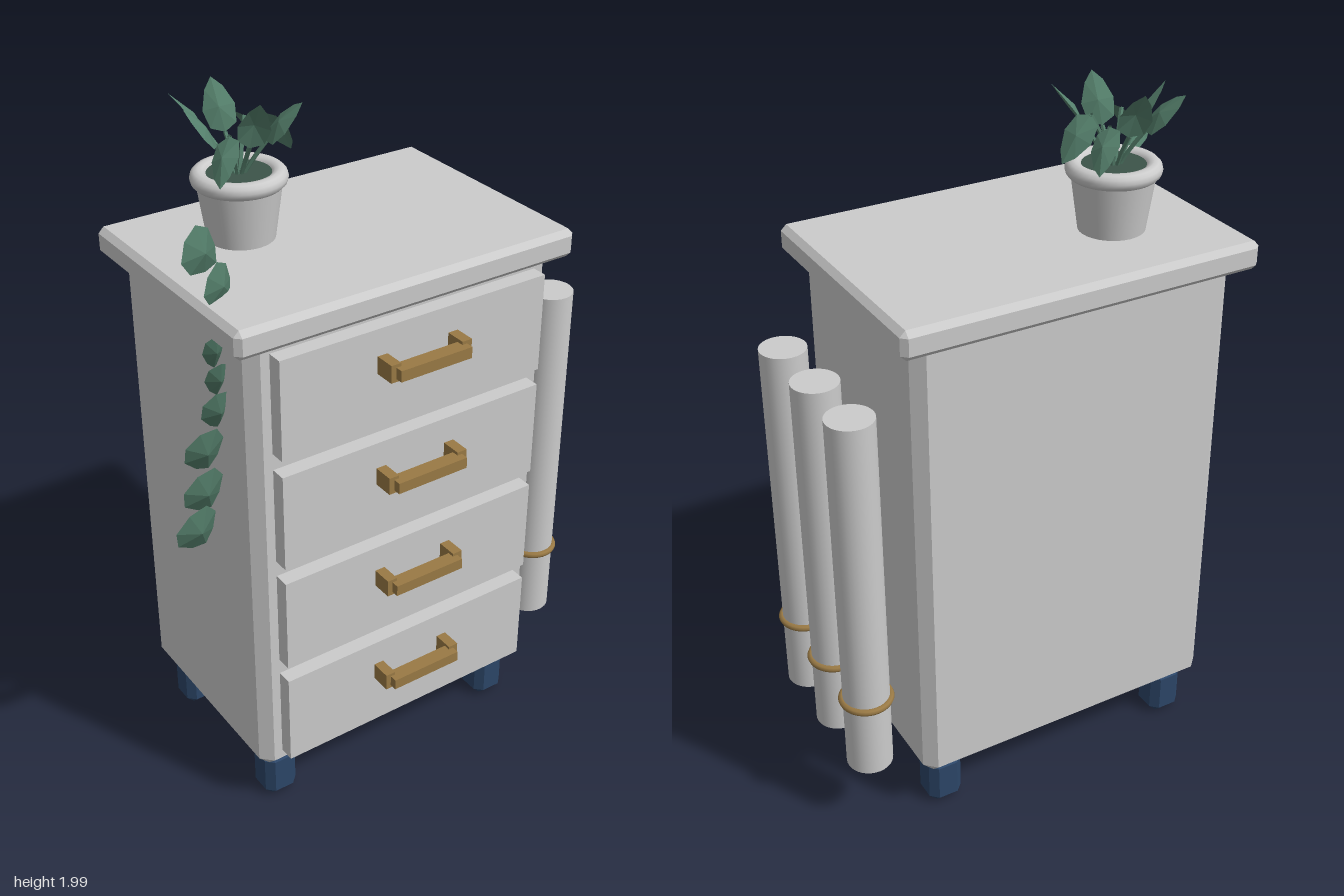
import * as THREE from 'three';
import { ConvexGeometry } from 'three/addons/geometries/ConvexGeometry.js';

const mat = (color, extra = {}) => new THREE.MeshStandardMaterial({ color, ...extra });
const grey = mat(0xcccccc);
const brass = mat(0x9a7a45);
const navy = mat(0x2c4668);
const soilGreen = mat(0x3c5449);
const green = mat(0x55806c, { side: THREE.DoubleSide, flatShading: true });
const V = (x, y, z) => new THREE.Vector3(x, y, z);

function add(parent, name, geometry, material, x = 0, y = 0, z = 0) {
  const mesh = new THREE.Mesh(geometry, material);
  mesh.name = name;
  mesh.position.set(x, y, z);
  parent.add(mesh);
  return mesh;
}

// Box with every edge cut at 45 degrees
function chamferBox(w, h, d, c) {
  const points = [];
  for (const sx of [-1, 1]) for (const sy of [-1, 1]) for (const sz of [-1, 1]) {
    const x = w / 2, y = h / 2, z = d / 2;
    points.push(V(sx * (x - c), sy * (y - c), sz * z),
      V(sx * (x - c), sy * y, sz * (z - c)),
      V(sx * x, sy * (y - c), sz * (z - c)));
  }
  return new ConvexGeometry(points);
}

// Faceted leaf: a fan round a raised middle, base at the origin, tip along +y
function leafGeometry(length, width) {
  const rim = [[0, 0], [0.4, 0.12], [0.5, 0.45], [0.28, 0.8], [0, 1], [-0.28, 0.8], [-0.5, 0.45], [-0.4, 0.12]];
  const positions = [];
  rim.forEach(([x, y], i) => {
    const [x2, y2] = rim[(i + 1) % rim.length];
    positions.push(0, length * 0.45, width * 0.16,
      x2 * width, y2 * length, 0, x * width, y * length, 0);
  });
  // Rim is listed counter-clockwise from the base, so swap corners to face +z
  for (let i = 0; i < positions.length; i += 9) {
    const a = positions.slice(i + 3, i + 6), b = positions.slice(i + 6, i + 9);
    positions.splice(i + 3, 6, ...b, ...a);
  }
  const g = new THREE.BufferGeometry();
  g.setAttribute('position', new THREE.Float32BufferAttribute(positions, 3));
  g.computeVertexNormals();
  return g;
}

function addLeaf(parent, base, dir, normal, length, width, roll = 0) {
  const leaf = add(parent, 'leaf', leafGeometry(length, width), green, base.x, base.y, base.z);
  const y = dir.clone().normalize();
  const x = y.clone().cross(normal).normalize();
  const z = x.clone().cross(y);
  leaf.quaternion.setFromRotationMatrix(new THREE.Matrix4().makeBasis(x, y, z));
  leaf.rotateY(roll);
}

function buildHandle(y) {
  const handle = new THREE.Group();
  handle.name = 'drawerHandle';
  handle.position.set(-0.025, y, 0);
  for (const s of [-1, 1])
    add(handle, 'handlePost', new THREE.BoxGeometry(0.03, 0.05, 0.06), brass, s * 0.11, 0, 0.357);
  add(handle, 'handleBar', new THREE.BoxGeometry(0.22, 0.032, 0.042), brass, 0, 0, 0.388);
  return handle;
}

function buildPottedPlant() {
  const plant = new THREE.Group();
  plant.name = 'pottedPlant';
  plant.position.set(-0.256, 1.597, -0.14);
  add(plant, 'pot', new THREE.CylinderGeometry(0.113, 0.09, 0.16, 32), grey, 0, 0.08, 0);
  add(plant, 'potRim', new THREE.TorusGeometry(0.104, 0.023, 12, 40), grey, 0, 0.166, 0).rotation.x = Math.PI / 2;
  add(plant, 'soil', new THREE.CylinderGeometry(0.1, 0.1, 0.02, 32), soilGreen, 0, 0.168, 0);

  // Per stem: reach, height of leaf base, pitch of leaf
  const stems = [
    [0.075, 0.32, -0.95], [0.075, 0.265, 0.85], [0.06, 0.26, 1.15], [0.075, 0.3, -0.75],
    [0.06, 0.26, 0.9], [0.075, 0.27, 0.8], [0.06, 0.265, 1.1], [0.075, 0.3, -0.7],
  ];
  stems.forEach(([reach, height, pitch], i) => {
    const a = (i / stems.length) * Math.PI * 2;
    const out = V(Math.cos(a), 0, Math.sin(a));
    const base = out.clone().multiplyScalar(reach).setY(height);
    const curve = new THREE.QuadraticBezierCurve3(out.clone().multiplyScalar(0.012).setY(0.17),
      out.clone().multiplyScalar(reach * 0.45).setY(height * 0.8), base);
    add(plant, 'stem', new THREE.TubeGeometry(curve, 6, 0.006, 5), green);
    const dir = out.clone().multiplyScalar(Math.cos(pitch)).setY(Math.sin(pitch));
    const normal = out.clone().multiplyScalar(-Math.sin(pitch)).setY(Math.cos(pitch));
    addLeaf(plant, base, dir, normal, 0.142, 0.085, i % 2 ? 0.45 : -0.45);
  });
  return plant;
}

function buildTrailingVine() {
  const vine = new THREE.Group();
  vine.name = 'trailingVine';
  // Per leaf: base x, base y, length, width, direction across, direction down
  const leaves = [
    [-0.585, 1.785, 0.18, 0.12, 0.75, -0.7], [-0.53, 1.68, 0.16, 0.11, 0.6, -0.6],
    [-0.515, 1.52, 0.13, 0.07, 0.15, -1], [-0.505, 1.44, 0.13, 0.08, 0.1, -1],
    [-0.525, 1.36, 0.16, 0.1, 0.3, -1], [-0.575, 1.26, 0.18, 0.12, 0.35, -1],
    [-0.59, 1.14, 0.19, 0.13, 0.45, -1], [-0.62, 1.03, 0.19, 0.135, 0.5, -1],
  ];
  for (const [x, y, length, width, dx, dy] of leaves)
    addLeaf(vine, V(x, y, 0.172), V(dx, dy, -0.45), V(-0.15, 0.4, 0.9), length, width);
  return vine;
}

export function createModel() {
  const model = new THREE.Group();
  model.name = 'drawerCabinet';

  // Carcass and worktop
  add(model, 'cabinetBody', chamferBox(0.936, 1.385, 0.65, 0.032), grey, -0.025, 0.845, -0.042);
  add(model, 'cabinetTop', chamferBox(1.036, 0.08, 0.73, 0.016), grey, -0.025, 1.557, -0.046);

  // Drawer fronts with handles
  for (let i = 0; i < 4; i++) {
    const y = 0.356 + i * 0.333;
    add(model, 'drawerFront', new THREE.BoxGeometry(0.82, 0.285, 0.07), grey, -0.025, y, 0.293);
    model.add(buildHandle(y + 0.041));
  }

  // Feet
  for (const sx of [-1, 1]) for (const sz of [-1, 1])
    add(model, 'foot', chamferBox(0.102, 0.155, 0.102, 0.022), navy, -0.025 + sx * 0.385, 0.0775, -0.04 + sz * 0.236);

  // Tubes standing beside the cabinet, each with a band
  for (const z of [-0.265, -0.058, 0.149]) {
    add(model, 'sideTube', new THREE.CylinderGeometry(0.065, 0.065, 1.108, 32), grey, 0.573, 0.772, z);
    add(model, 'tubeBand', new THREE.TorusGeometry(0.067, 0.01, 8, 40), brass, 0.573, 0.442, z).rotation.x = Math.PI / 2;
  }

  model.add(buildPottedPlant(), buildTrailingVine());
  return model;
}
